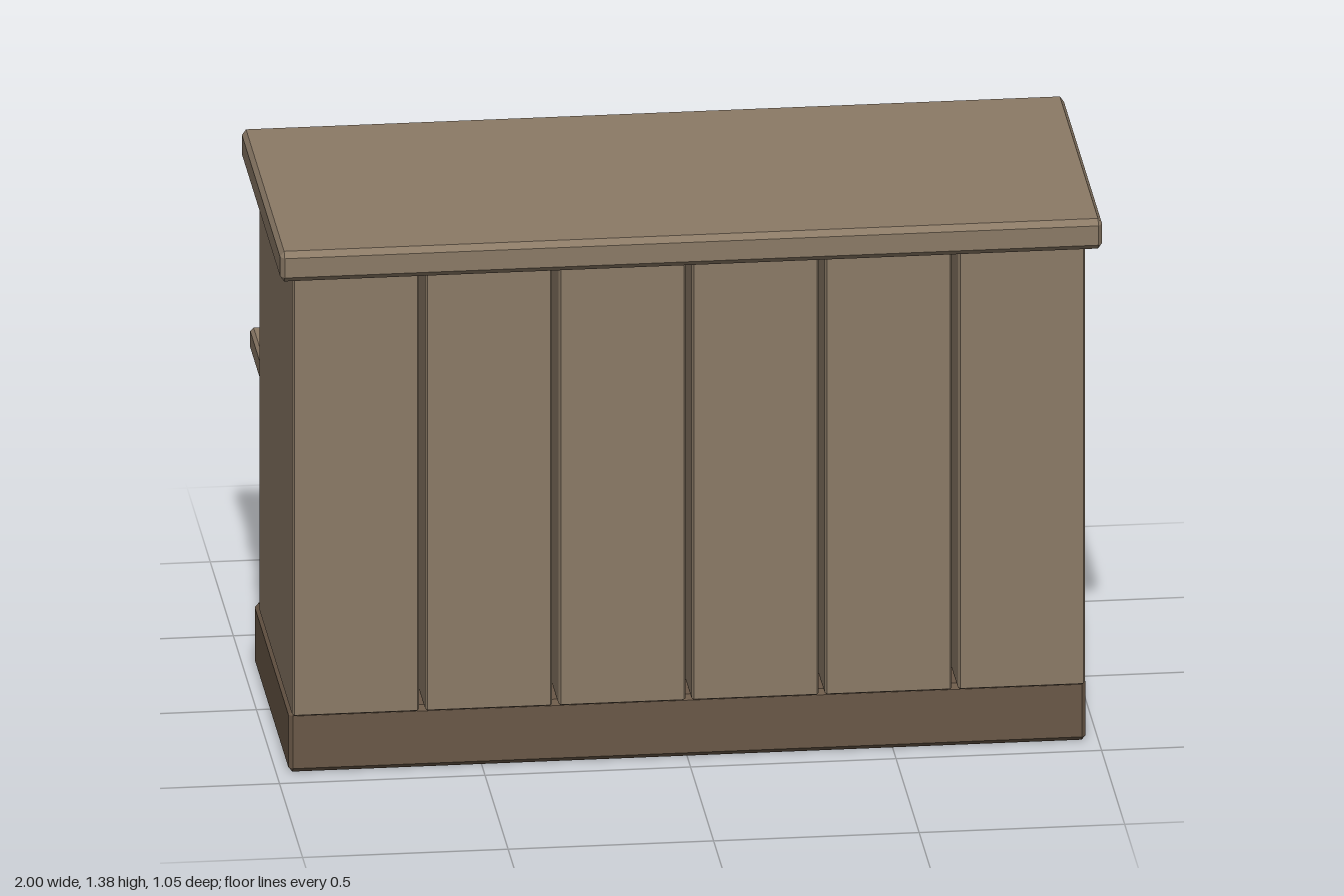
import * as THREE from 'three';
import { ConvexGeometry } from 'three/addons/geometries/ConvexGeometry.js';

// Box with chamfered edges, given its extents and the chamfer along each axis
function chamferBox([x0, x1], [y0, y1], [z0, z1], [cx, cy, cz]) {
  const hx = (x1 - x0) / 2, hy = (y1 - y0) / 2, hz = (z1 - z0) / 2;
  const points = [];
  for (const sx of [-1, 1]) for (const sy of [-1, 1]) for (const sz of [-1, 1]) {
    points.push(
      new THREE.Vector3(sx * hx, sy * (hy - cy), sz * (hz - cz)),
      new THREE.Vector3(sx * (hx - cx), sy * hy, sz * (hz - cz)),
      new THREE.Vector3(sx * (hx - cx), sy * (hy - cy), sz * hz)
    );
  }
  return new ConvexGeometry(points).translate((x0 + x1) / 2, (y0 + y1) / 2, (z0 + z1) / 2);
}

export function createModel() {
  const model = new THREE.Group();
  model.name = 'barCounter';

  const lightWood = new THREE.MeshStandardMaterial({ color: 0x8b7a66 });
  lightWood.name = 'lightWood';
  const darkWood = new THREE.MeshStandardMaterial({ color: 0x6a5847 });
  darkWood.name = 'darkWood';

  const add = (name, geometry, material) => {
    const mesh = new THREE.Mesh(geometry, material);
    mesh.name = name;
    model.add(mesh);
    return mesh;
  };

  // Plinth and counter top
  add('base', chamferBox([-0.97, 0.97], [0, 0.16], [-0.315, 0.435], [0.01, 0.012, 0.012]), darkWood);
  add('counterTop', chamferBox([-1, 1], [1.305, 1.383], [-0.328, 0.525], [0.01, 0.014, 0.014]), lightWood);

  // Six full-depth planks with narrow open gaps between them
  const pitch = 0.324, width = 0.309;
  for (let i = 0; i < 6; i++) {
    const x = (i - 2.5) * pitch - 0.001;
    add('plank' + (i + 1), chamferBox(
      [x - width / 2, x + width / 2], [0.16, 1.305], [-0.249, 0.474], [0.005, 0.005, 0.01]), lightWood);
  }

  // Shelf behind the counter
  add('shelf', chamferBox([-0.957, 0.955], [0.73, 0.79], [-0.526, -0.29], [0.008, 0.009, 0.009]), lightWood);

  // Hexagonal mugs standing on the shelf
  [-0.597, 0.06, 0.523].forEach((x, i) => {
    const mug = new THREE.CylinderGeometry(0.058, 0.058, 0.15, 6).toNonIndexed();
    mug.computeVertexNormals();
    add('mug' + (i + 1), mug, darkWood).position.set(x, 0.865, -0.409);
  });

  return model;
}
